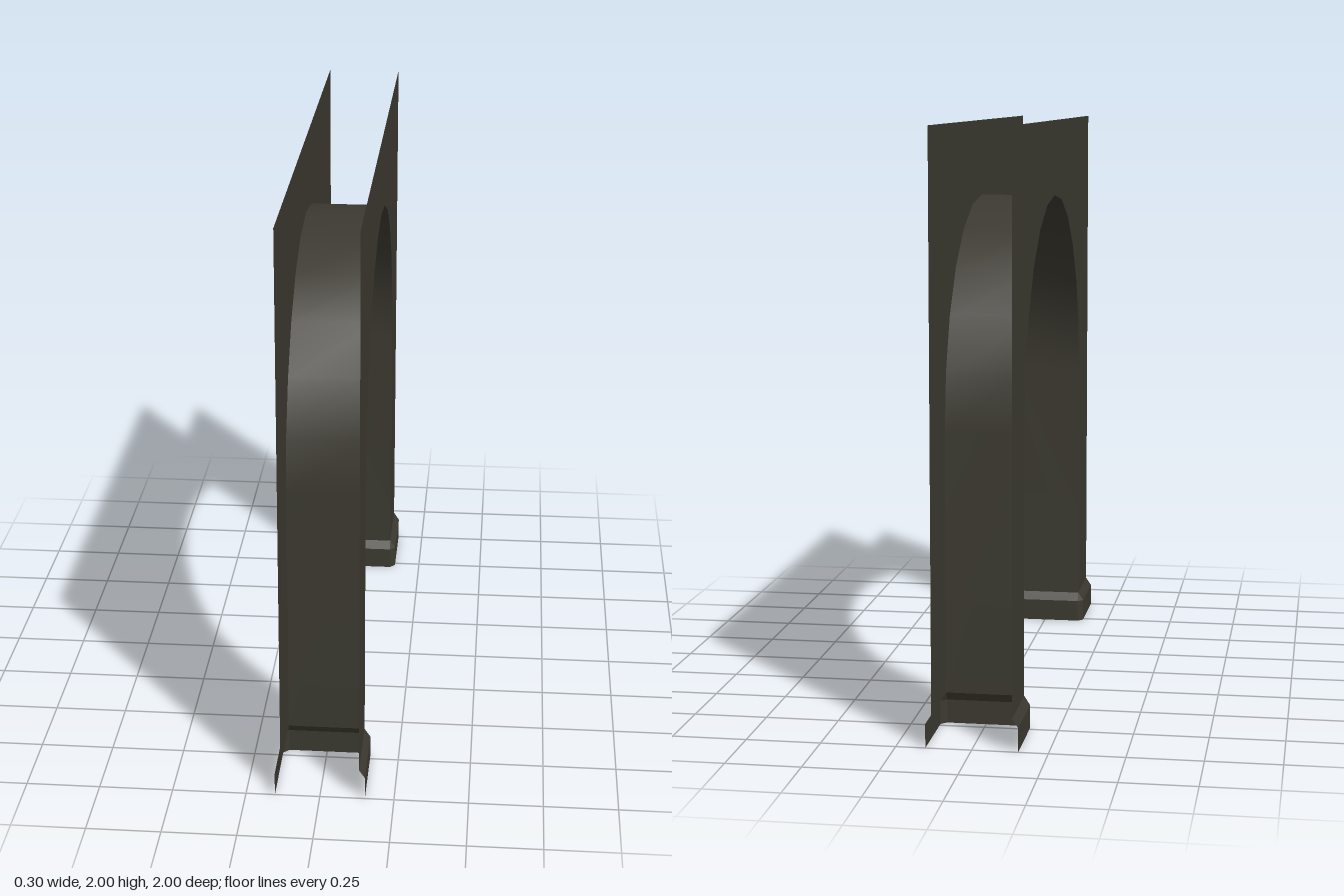
import * as THREE from 'three';

const W = 0.132;   // half thickness of the arch
const R = 0.735;   // opening radius
const SPRING = 1;  // height where the curve starts
const BASE = 0.11; // plinth height
const D = 0.02;    // plinth projection
const SEG = 12;

// Builds a surface from rows of points; neighbouring rows are joined by quads.
function loft(rows, flat) {
  const n = rows[0].length, index = [];
  for (let i = 0; i < rows.length - 1; i++)
    for (let j = 0; j < n - 1; j++) {
      const a = i * n + j, b = a + n;
      index.push(a, a + 1, b, b, a + 1, b + 1);
    }
  let g = new THREE.BufferGeometry();
  g.setAttribute('position', new THREE.Float32BufferAttribute(rows.flat(2), 3));
  g.setIndex(index);
  if (flat) g = g.toNonIndexed();
  g.computeVertexNormals();
  return g;
}

export function createModel() {
  const stone = new THREE.MeshStandardMaterial({ color: 0x3b3930, side: THREE.DoubleSide });
  stone.name = 'dark stone';
  const group = new THREE.Group();
  const add = (geometry, name) => {
    const mesh = new THREE.Mesh(geometry, stone);
    mesh.name = name;
    group.add(mesh);
    return mesh;
  };

  // Outline of the opening, from the front leg over to the back leg
  const arch = [[R, BASE]];
  for (let i = 0; i <= SEG; i++) {
    const a = Math.PI * i / SEG;
    arch.push([R * Math.cos(a), SPRING + R * Math.sin(a)]);
  }
  arch.push([-R, BASE]);

  // Two thin side walls, open at the ends and top
  const outline = [[1, 2], [1, BASE], ...arch, [-1, BASE], [-1, 2]];
  const shape = new THREE.Shape(outline.map(([z, y]) => new THREE.Vector2(z, y)));
  for (const s of [1, -1]) {
    const wall = new THREE.ShapeGeometry(shape);
    wall.rotateY(s * Math.PI / 2); // the outline is symmetric in z
    wall.translate(s * W, 0, 0);
    add(wall, s > 0 ? 'leftWall' : 'rightWall');
  }

  // Curved lining of the opening
  add(loft(arch.map(([z, y]) => [[W, y, z], [-W, y, z]]), false), 'archLining');

  // Plinth around three sides of each leg, with bevelled top and corners
  const profile = [[D, 0], [D, 0.08], [0, BASE]];
  for (const s of [1, -1]) {
    const rows = profile.map(([d, y]) => [
      [W + d, y, 1], [W + d, y, R], [W, y, R - d],
      [-W, y, R - d], [-W - d, y, R], [-W - d, y, 1],
    ]);
    const plinth = loft(rows, true);
    if (s < 0) plinth.rotateY(Math.PI);
    // Turn the faces outward
    const normal = plinth.attributes.normal, p = plinth.attributes.position;
    if (normal.getX(0) * p.getX(0) < 0) {
      for (let i = 0; i < p.count; i += 3) {
        const a = new THREE.Vector3().fromBufferAttribute(p, i + 1);
        const b = new THREE.Vector3().fromBufferAttribute(p, i + 2);
        p.setXYZ(i + 1, b.x, b.y, b.z);
        p.setXYZ(i + 2, a.x, a.y, a.z);
      }
      plinth.computeVertexNormals();
    }
    add(plinth, s > 0 ? 'frontPlinth' : 'backPlinth');
  }
  return group;
}
